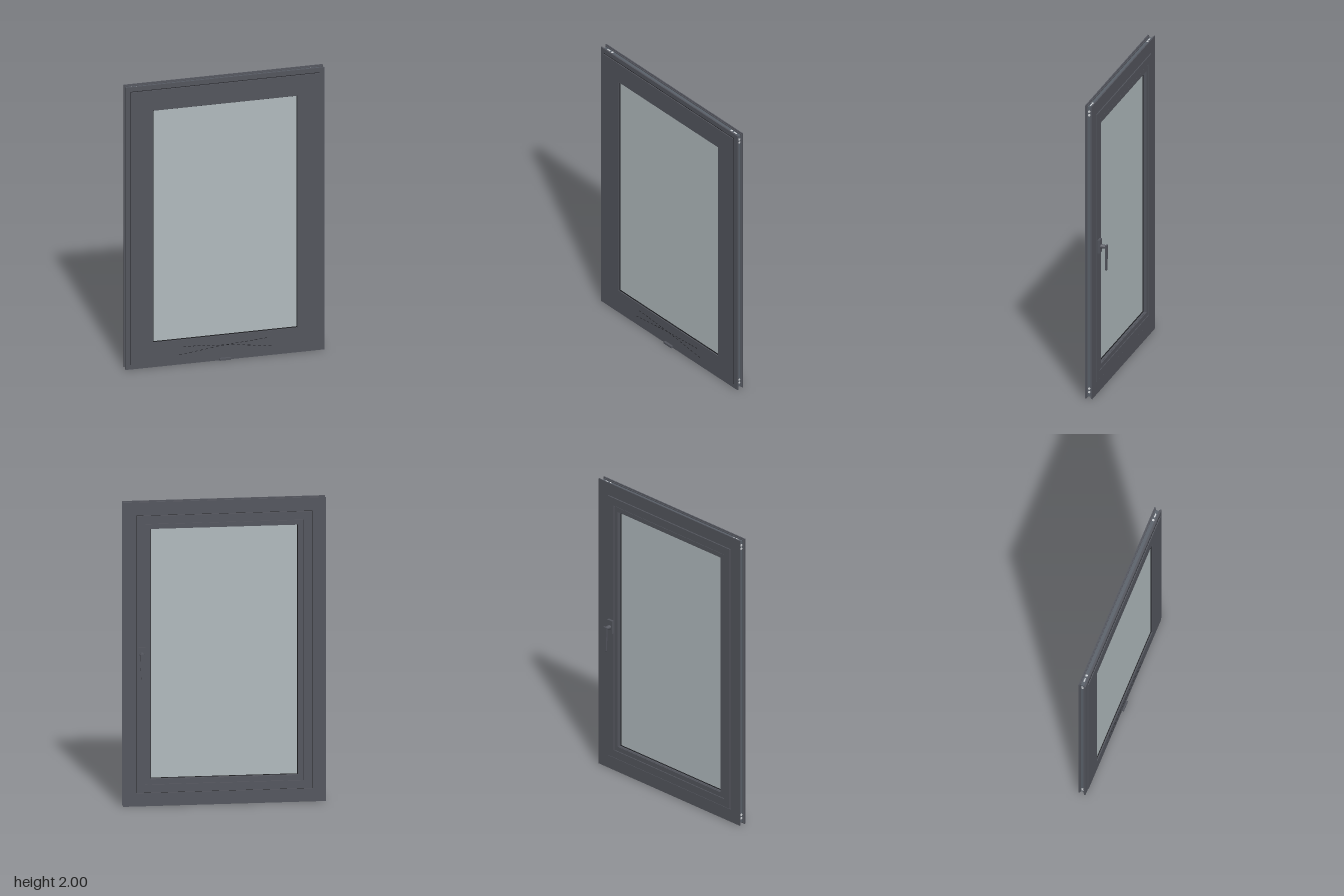
import * as THREE from 'three';

const mat = (name, color) => {
  const m = new THREE.MeshStandardMaterial({ color });
  m.name = name;
  return m;
};

export function createModel() {
  const frameGrey = mat('frame grey', 0x53555d);
  const breakGrey = mat('thermal break grey', 0x596069);
  const black = mat('gasket black', 0x1e1f22);
  const glassGrey = mat('glass grey', 0xb0babd);
  const silver = mat('corner key silver', 0xd0d3d6);

  const model = new THREE.Group();
  model.name = 'window';

  const add = (name, geometry, material, parent = model) => {
    const mesh = new THREE.Mesh(geometry, material);
    mesh.name = name;
    parent.add(mesh);
    return mesh;
  };
  const box = (name, w, h, d, x, y, z, material, parent) => {
    const mesh = add(name, new THREE.BoxGeometry(w, h, d), material, parent);
    mesh.position.set(x, y, z);
    return mesh;
  };

  // Rectangular ring: insets are measured from the 1.3 x 2 outline
  const ring = (name, outer, inner, z0, z1, material) => {
    const corners = (i) => [
      [-0.65 + i, i], [0.65 - i, i], [0.65 - i, 2 - i], [-0.65 + i, 2 - i],
    ].map(([x, y]) => new THREE.Vector2(x, y));
    const shape = new THREE.Shape(corners(outer));
    shape.holes.push(new THREE.Path(corners(inner).reverse()));
    const geometry = new THREE.ExtrudeGeometry(shape, { depth: z1 - z0, bevelEnabled: false });
    geometry.translate(0, 0, z0);
    return add(name, geometry, material);
  };

  // Fixed frame: front and back flanges around a recessed core
  ring('frameFront', 0, 0.06, 0.037, 0.045, frameGrey);
  ring('frameCoreFront', 0.006, 0.05, 0.031, 0.037, frameGrey);
  ring('thermalBreak', 0.012, 0.05, 0.009, 0.031, breakGrey);
  ring('frameCoreBack', 0.006, 0.05, 0.003, 0.009, frameGrey);
  ring('frameBack', 0, 0.086, -0.004, 0.003, frameGrey);
  ring('frameSeal', 0.05, 0.1, 0.004, 0.03, black);

  // Opening sash, lapping over the front of the fixed frame
  ring('sashSeal', 0.032, 0.06, 0.045, 0.0465, black);
  ring('sashFront', 0.035, 0.178, 0.0465, 0.053, frameGrey);
  ring('sashBody', 0.09, 0.178, 0.002, 0.0465, frameGrey);
  ring('sashBack', 0.09, 0.142, -0.007, 0.002, frameGrey);
  ring('glazingBead', 0.145, 0.176, -0.005, 0.018, frameGrey);

  // Glass with a gasket on each face
  box('glass', 0.96, 1.7, 0.018, 0, 1, 0.031, glassGrey);
  ring('gasketFront', 0.177, 0.182, 0.04, 0.046, black);
  ring('gasketBack', 0.175, 0.181, 0.016, 0.022, black);

  // Corner keys showing in the frame channel
  const key = (x, y, r, round) => {
    const g = round ? new THREE.CylinderGeometry(0.008, 0.008, 0.004, 16)
      : new THREE.BoxGeometry(0.026, 0.004, 0.008);
    const mesh = add('cornerKey', g, silver);
    mesh.position.set(x, y, 0.02);
    mesh.rotation.z = r;
  };
  for (const s of [-1, 1]) {
    for (const y of [0.012, 1.988]) {
      key(s * 0.6, y, 0, false);
      key(s * 0.567, y, 0, true);
    }
    for (const y of [0.042, 0.066, 1.934, 1.958]) key(s * 0.638, y, Math.PI / 2, true);
  }

  // Drain cover at the foot of the frame
  box('drainCover', 0.07, 0.014, 0.015, 0, 0.01, 0.0525, frameGrey);

  // Dashed crossing marks on the bottom rail
  for (const s of [-1, 1]) {
    for (const [ex, ey] of [[0.28, 0.13], [0.31, 0.072]]) {
      const slope = Math.atan2(ey - 0.11, s * ex);
      for (let i = 0; i < 9; i++) {
        const t = (i + 0.5) / 9;
        const dash = box('railDash', 0.018, 0.003, 0.002, s * ex * t, 0.11 + (ey - 0.11) * t, 0.0535, black);
        dash.rotation.z = slope;
      }
    }
  }

  // Handle on the inside face
  const handle = new THREE.Group();
  handle.name = 'handle';
  handle.position.set(0.53, 1, 0);
  model.add(handle);
  box('handlePlate', 0.044, 0.09, 0.016, 0, 0.005, -0.015, frameGrey, handle);
  const neck = add('handleNeck', new THREE.CylinderGeometry(0.012, 0.015, 0.035, 20), frameGrey, handle);
  neck.rotation.x = -Math.PI / 2;
  neck.position.set(0, 0.003, -0.04);
  const lever = new THREE.Shape([
    [-0.016, 0.014], [-0.015, -0.03], [-0.009, -0.15], [-0.005, -0.156],
    [0.005, -0.156], [0.009, -0.15], [0.015, -0.03], [0.016, 0.014],
  ].map(([x, y]) => new THREE.Vector2(x, y)));
  const leverGeometry = new THREE.ExtrudeGeometry(lever, { depth: 0.01, bevelEnabled: false });
  leverGeometry.translate(0, 0, -0.065);
  add('handleLever', leverGeometry, frameGrey, handle);

  return model;
}
